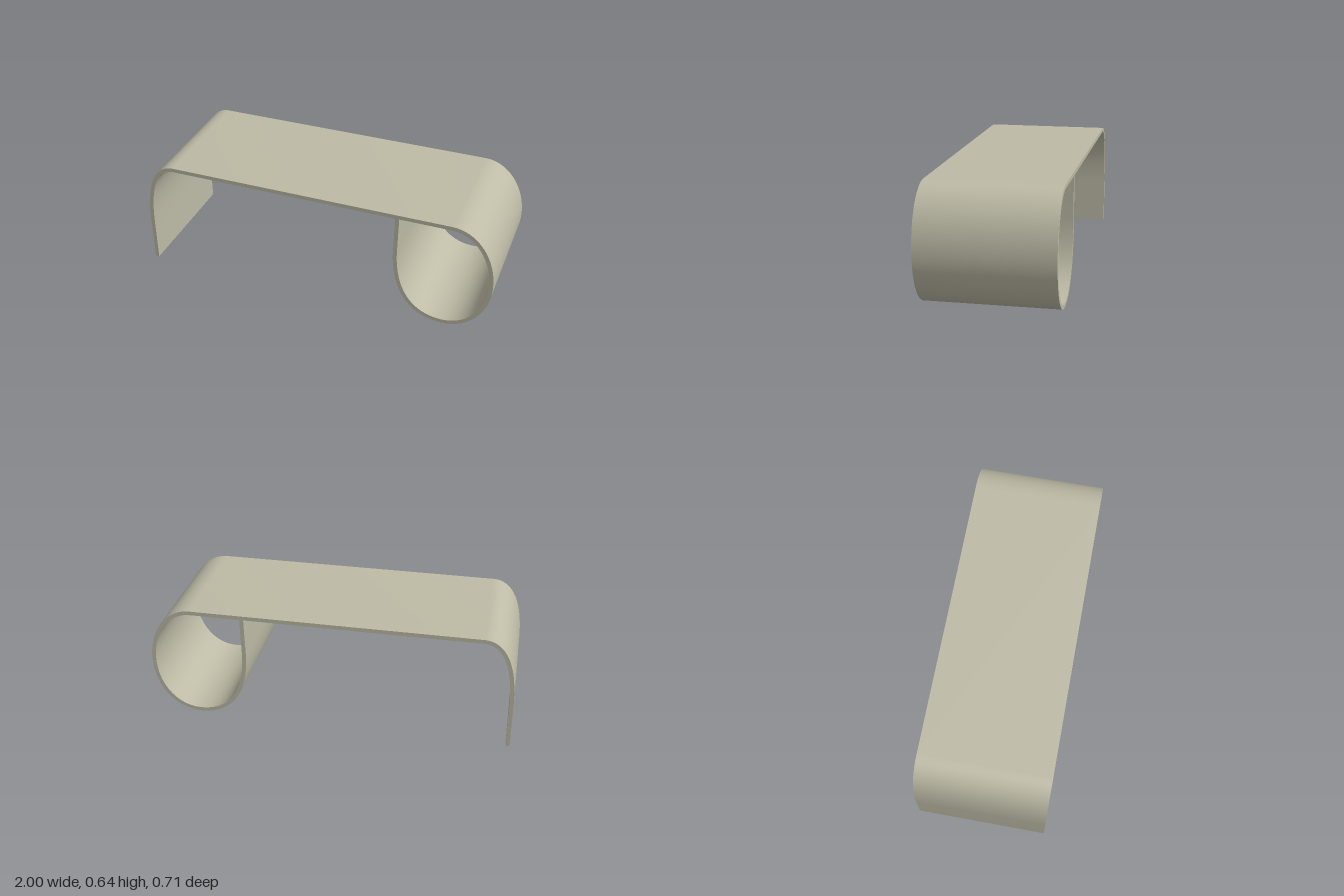
import * as THREE from 'three';
import { toCreasedNormals } from 'three/addons/utils/BufferGeometryUtils.js';

const THICKNESS = 0.022;
const DEPTH = 0.714;

const v = (x, y) => new THREE.Vector2(x, y);
const line = (a, b) => new THREE.LineCurve(v(...a), v(...b));
const bend = (a, b, c, d) => new THREE.CubicBezierCurve(v(...a), v(...b), v(...c), v(...d));

// Centre line of the bent sheet, from the straight foot to the end of the rolled foot
const curves = [
  line([-0.989, 0], [-0.989, 0.25]),
  bend([-0.989, 0.25], [-0.989, 0.5], [-0.93, 0.631], [-0.82, 0.631]),
  line([-0.82, 0.631], [0.76, 0.631]),
  bend([0.76, 0.631], [0.895, 0.631], [0.988, 0.485], [0.988, 0.32]),
  bend([0.988, 0.32], [0.988, 0.15], [0.885, 0.017], [0.74, 0.017]),
  bend([0.74, 0.017], [0.58, 0.017], [0.466, 0.14], [0.466, 0.4]),
  line([0.466, 0.4], [0.471, 0.621]),
];

// Closed outline made by offsetting the centre line to both sides
function ribbonShape() {
  const outer = [], inner = [];
  curves.forEach((curve, i) => {
    const steps = curve.isLineCurve ? 1 : 28;
    const first = i === 0 || (curve.isLineCurve && i === curves.length - 1) ? 0 : 1;
    for (let s = i === 0 ? first : 1; s <= steps; s++) {
      const p = curve.getPoint(s / steps);
      const t = curve.getTangent(s / steps);
      const n = v(-t.y, t.x).multiplyScalar(THICKNESS / 2);
      outer.push(p.clone().add(n));
      inner.push(p.clone().sub(n));
    }
  });
  return new THREE.Shape([...outer, ...inner.reverse()]);
}

export function createModel() {
  const group = new THREE.Group();
  group.name = 'bentTable';

  const material = new THREE.MeshStandardMaterial({ color: 0xbdbaa5 });
  material.name = 'warmGrey';

  const geometry = new THREE.ExtrudeGeometry(ribbonShape(), { depth: DEPTH, bevelEnabled: false });
  geometry.translate(0, 0, -DEPTH / 2);

  // Smooth along the bends, sharp at the sheet's edges
  const sheet = new THREE.Mesh(toCreasedNormals(geometry, 0.6), material);
  sheet.name = 'bentSheet';
  group.add(sheet);
  return group;
}
